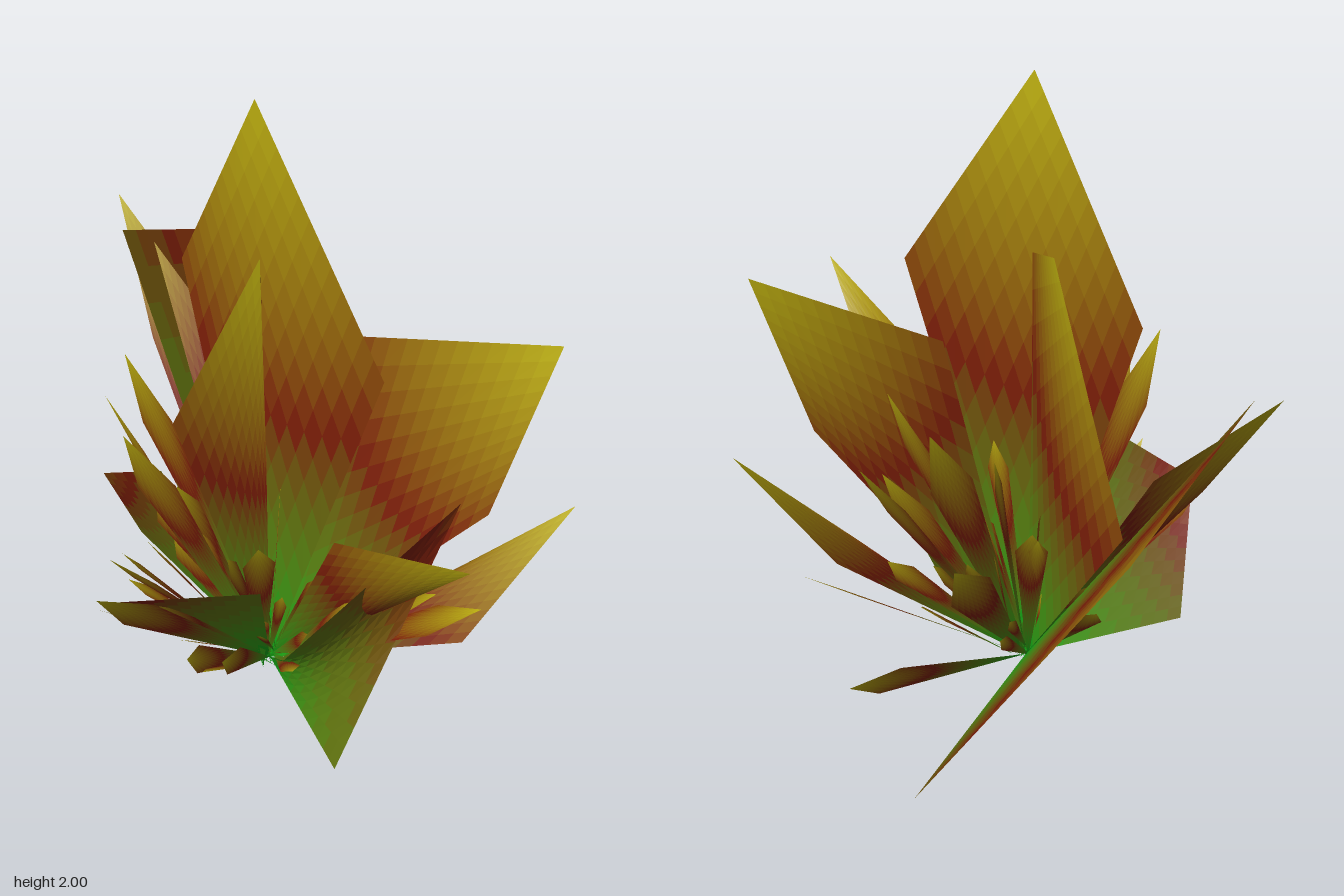
import * as THREE from 'three';

const BASE = new THREE.Vector3(-0.2, 0.06, 0.09);
const N = 12; // cells along each side of a blade

// Colour bands: green root, dark red middle, yellow tip
const green = new THREE.Color(0x14a014), red = new THREE.Color(0x7c0c08), yellow = new THREE.Color(0xbcae10);
const bands = Array.from({ length: 2 * N - 1 }, (_, k) => {
  const t = k / (2 * N - 2);
  const color = t < 0.42 ? green.clone().lerp(red, t / 0.42) : red.clone().lerp(yellow, (t - 0.42) / 0.58);
  return new THREE.MeshStandardMaterial({ color, side: THREE.DoubleSide, flatShading: true });
});

// Four-cornered blade from root to tip; reach sets how far it runs through the colours
function blade(name, root, sideA, sideB, tip, reach = 1) {
  const group = new THREE.Group();
  group.name = name;
  const point = (i, j) => {
    const u = i / N, v = j / N;
    return new THREE.Vector3()
      .addScaledVector(root, (1 - u) * (1 - v)).addScaledVector(sideA, u * (1 - v))
      .addScaledVector(sideB, (1 - u) * v).addScaledVector(tip, u * v);
  };
  for (let k = 0; k < bands.length; k++) {
    const pts = [];
    for (let i = Math.max(0, k - N + 1); i <= Math.min(k, N - 1); i++) {
      const j = k - i;
      const a = point(i, j), b = point(i + 1, j), c = point(i + 1, j + 1), d = point(i, j + 1);
      pts.push(a, b, c, a, c, d);
    }
    const geo = new THREE.BufferGeometry().setFromPoints(pts);
    geo.computeVertexNormals();
    const mesh = new THREE.Mesh(geo, bands[Math.round(k * reach)]);
    mesh.name = name + 'Band';
    group.add(mesh);
  }
  return group;
}

// Narrow blade: side corners sit near the tip, turned about its axis by twist
function spike(name, tip, width, twist, root, at) {
  const dir = tip.clone().sub(root);
  const axis = dir.clone().normalize();
  const side = new THREE.Vector3(0, 1, 0).cross(axis).normalize().applyAxisAngle(axis, twist);
  const mid = root.clone().addScaledVector(dir, at);
  return blade(name, root, mid.clone().addScaledVector(side, width / 2),
    mid.clone().addScaledVector(side, -width / 2), tip);
}

const V = (p) => new THREE.Vector3(...p);

export function createModel() {
  const plant = new THREE.Group();
  plant.name = 'spikyPlant';

  // Broad leaves: side corner, side corner, tip, colour reach
  const leaves = {
    tallLeaf: [[0.13, 1.36, 0.41], [-0.43, 1.36, -0.24], [-0.19, 2, 0.09]],
    backLeaf: [[0.26, 0, -0.46], [-0.64, 1.28, -0.56], [-0.2, 1.07, -0.95], 0.65],
    crossLeaf: [[-0.19, 1.48, 0.08], [-0.31, 0.88, -0.54], [-0.19, 1.56, -0.18]],
    innerLeaf: [[-0.45, 1.04, 0.14], [-0.19, 0.9, 0.1], [-0.19, 1.55, 0.1]],
    sideLeaf: [[0.44, 0.84, 0.32], [0.08, 1.25, 0.02], [0.61, 1.38, 0.28]],
    frontLeaf: [[0.0, 0.07, 0.57], [-0.14, 0.67, 0.71], [0.35, 0.94, 0.39], 0.45],
    frontRightLeaf: [[-0.2, 0.8, 0.59], [-0.6, 0.35, 0.2], [-0.62, 0.58, 0.38], 0.45],
    rightLeaf: [[-0.5, 0.84, 0.1], [-0.62, 0.35, -0.2], [-0.69, 0.74, -0.02], 0.5],
    backRightLeaf: [[-0.4, 1.03, -0.5], [-0.56, 0.95, -0.45], [-0.66, 1.34, -0.69]],
    longFrontLeaf: [[0, 0.9, 0.5], [0.18, 0.72, 0.55], [0.31, 1.18, 0.94]],
    lowLeftLeaf: [[0.39, 0.34, 0.32], [0.33, 0.5, 0.2], [0.7, 0.81, 0.25]],
  };
  for (const [name, [a, b, tip, reach]] of Object.entries(leaves))
    plant.add(blade(name, BASE, V(a), V(b), V(tip), reach));

  // Long narrow spikes: tip, width, twist
  const spikes = [
    [[-0.29, 0.82, 0.86], 0.08, 1.2], [[-0.6, 0.97, 0.79], 0.1, 0.9], [[0.39, 0.78, 0.64], 0.1, 0.5],
    [[0.54, 0.62, -0.15], 0.1, 0.3], [[0.36, 0.98, -0.2], 0.06, 0.6], [[-0.69, 0.9, -0.2], 0.09, 1.1],
    [[0.13, 0.75, -0.42], 0.14, 0.9], [[0.44, 0.46, -0.5], 0.11, 1.1], [[-0.14, 1.1, 0.49], 0.07, 1.4],
    [[-0.57, 1.11, 0.29], 0.12, 0.8], [[-0.64, 0.73, 0.57], 0.08, 0.3], [[-0.58, 1.22, 0.05], 0.1, 1.3],
    [[-0.36, 0.6, 0.68], 0.07, 0.2], [[0.26, 0.8, 0.08], 0.13, 0.9], [[0.16, 1.07, -0.21], 0.13, 0.9],
    [[-0.64, 0.7, 0.33], 0.09, 0.5], [[0.29, 0.66, 0.45], 0.14, 0.1], [[0.24, 1.08, 0.06], 0.12, 0.5],
  ];
  for (const [tip, width, twist] of spikes) plant.add(spike('longSpike', V(tip), width, twist, BASE, 0.8));

  // Short spikes filling the heart of the plant
  let seed = 7;
  const rand = () => (seed = (seed * 16807) % 2147483647) / 2147483647;
  for (let i = 0; i < 55; i++) {
    const angle = i * 2.39996, lean = 0.15 + 0.75 * rand();
    const len = Math.min(0.28 + 0.6 * rand(), 0.45 / Math.sin(lean));
    const root = BASE.clone().add(V([0.06 * (rand() - 0.5), 0.05 * (rand() - 0.5), 0.06 * (rand() - 0.5)]));
    const dir = V([Math.cos(angle) * Math.sin(lean), Math.cos(lean), Math.sin(angle) * Math.sin(lean)]);
    plant.add(spike('shortSpike', dir.multiplyScalar(len).add(root), 0.03 + 0.07 * rand(), rand() * Math.PI, root, 0.88));
  }
  return plant;
}
